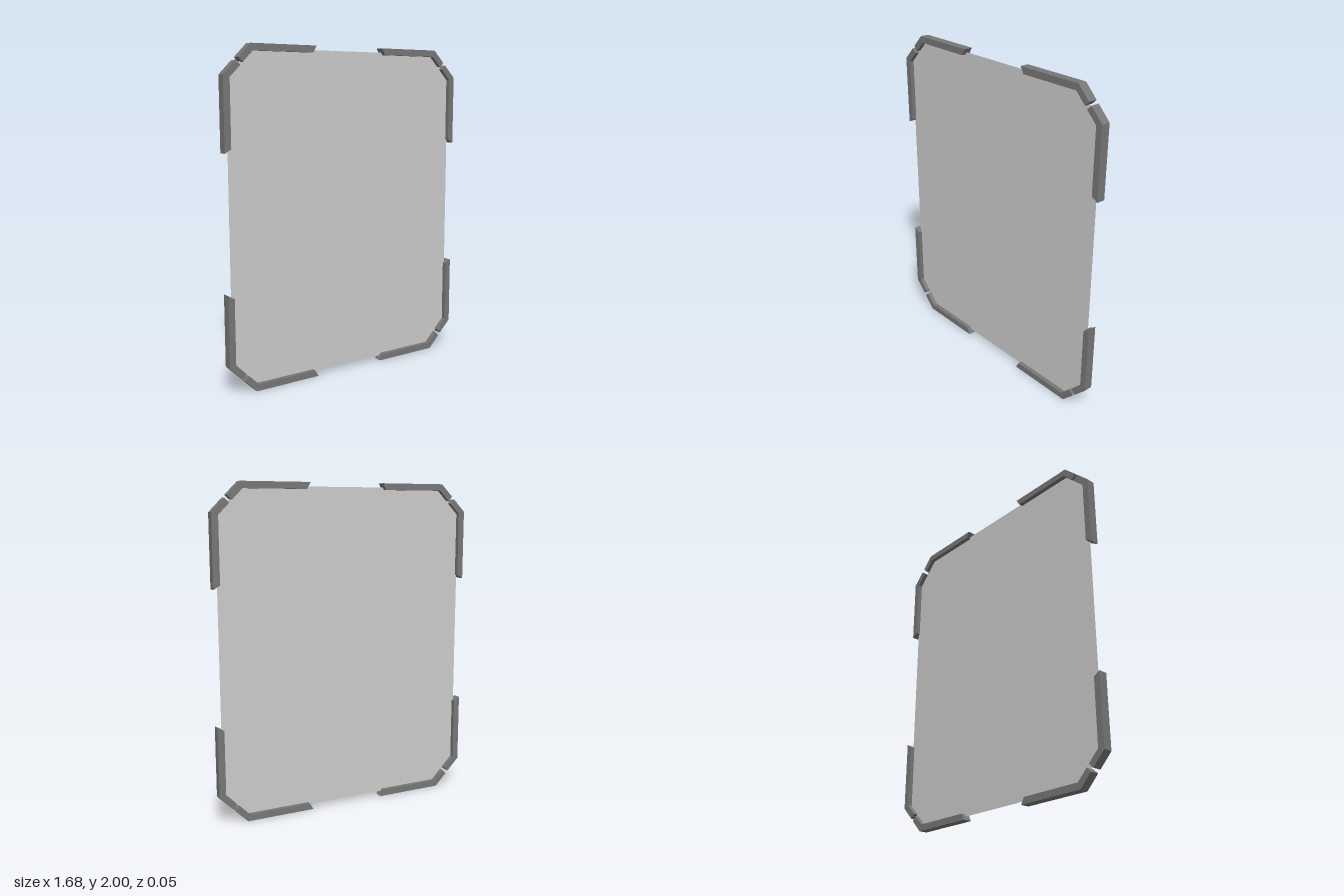
import * as THREE from 'three';

const DEPTH = 0.054;
const MID_Y = 1;

// Outlines for the upper left quadrant, measured from the panel centre
const RAIL = [[0.24, 1], [0.67, 1], [0.747, 0.923], [0.72, 0.896], [0.656, 0.96], [0.263, 0.96]];
const STILE = [[0.842, 0.4], [0.842, 0.828], [0.763, 0.907], [0.736, 0.88], [0.802, 0.814], [0.802, 0.423]];
const PANEL_CORNER = [[0.812, 0.818], [0.655, 0.975]];

function shapeFrom(points, sx = 1, sy = 1) {
  return new THREE.Shape(points.map(([x, y]) => new THREE.Vector2(x * sx, y * sy)));
}

export function createModel() {
  const model = new THREE.Group();
  const panelMaterial = new THREE.MeshStandardMaterial({ color: 0xcccccc, side: THREE.DoubleSide });
  const frameMaterial = new THREE.MeshStandardMaterial({ color: 0x777777 });

  // Thin sheet with four cut corners
  const [a, b] = PANEL_CORNER;
  const outline = [
    a, b,
    [-b[0], b[1]], [-a[0], a[1]],
    [-a[0], -a[1]], [-b[0], -b[1]],
    [b[0], -b[1]], [a[0], -a[1]],
  ];
  const panel = new THREE.Mesh(new THREE.ShapeGeometry(shapeFrom(outline)), panelMaterial);
  panel.name = 'panel';
  panel.position.y = MID_Y;
  model.add(panel);

  // Two bent edge strips at every corner, mirrored in x and y
  for (const sy of [1, -1]) {
    for (const sx of [1, -1]) {
      const corner = new THREE.Group();
      corner.name = (sy > 0 ? 'upper' : 'lower') + (sx > 0 ? 'Left' : 'Right') + 'CornerFrame';
      corner.position.y = MID_Y;
      for (const [name, points] of [['horizontalStrip', RAIL], ['verticalStrip', STILE]]) {
        const geometry = new THREE.ExtrudeGeometry(shapeFrom(points, sx, sy), { depth: DEPTH, bevelEnabled: false });
        geometry.translate(0, 0, -DEPTH / 2);
        const strip = new THREE.Mesh(geometry, frameMaterial);
        strip.name = name;
        corner.add(strip);
      }
      model.add(corner);
    }
  }
  return model;
}
